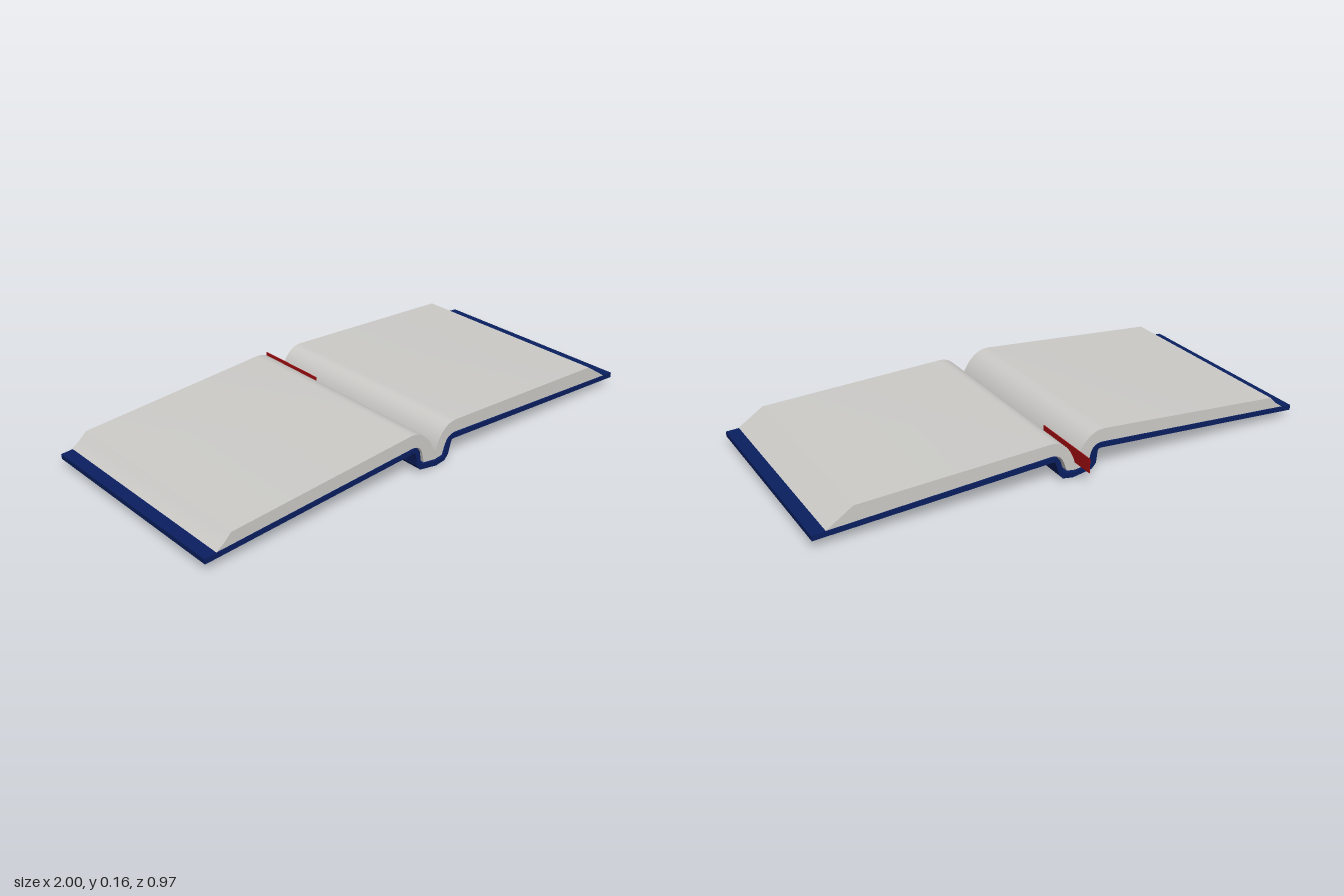
import * as THREE from 'three';
import { toCreasedNormals } from 'three/addons/utils/BufferGeometryUtils.js';

const Z_BACK = -0.39, Z_FRONT = 0.484;

const material = (name, color) => {
  const m = new THREE.MeshStandardMaterial({ color });
  m.name = name;
  return m;
};

// Extrudes a cross-section (x, y) along the height of the book.
function slab(name, shape, mat) {
  const geo = new THREE.ExtrudeGeometry(shape, {
    depth: Z_FRONT - Z_BACK, bevelEnabled: false, curveSegments: 12,
  });
  geo.translate(0, 0, Z_BACK);
  const mesh = new THREE.Mesh(toCreasedNormals(geo, 0.45), mat);
  mesh.name = name;
  return mesh;
}

// Thickens a centre line into a closed strip.
function strip(line, half) {
  const pts = line.map(([x, y]) => new THREE.Vector2(x, y));
  const upper = [], lower = [];
  pts.forEach((p, i) => {
    const a = pts[Math.max(i - 1, 0)], b = pts[Math.min(i + 1, pts.length - 1)];
    const d = b.clone().sub(a).normalize();
    const n = new THREE.Vector2(-d.y, d.x).multiplyScalar(half);
    upper.push(p.clone().add(n));
    lower.push(p.clone().sub(n));
  });
  return new THREE.Shape([...lower, ...upper.reverse()]);
}

export function createModel() {
  const book = new THREE.Group();
  book.name = 'openBook';
  const blue = material('coverBlue', 0x0a1f60);
  const paper = material('paper', 0xcccbc8);
  const red = material('ribbonRed', 0xa00c0f);

  // Cover boards and spine in one folded strip
  book.add(slab('cover', strip([
    [-1, 0.042], [-0.108, 0.101], [-0.092, 0.097], [-0.085, 0.085],
    [-0.079, 0.038], [-0.068, 0.024], [0.01, 0.011], [0.047, 0.017],
    [0.058, 0.03], [0.072, 0.078], [0.08, 0.089], [0.095, 0.092], [1, 0.045],
  ], 0.01), blue));

  // Right-hand pages with a slanted fore edge
  const right = new THREE.Shape();
  right.moveTo(0, 0.03);
  right.lineTo(0.035, 0.035);
  right.bezierCurveTo(0.05, 0.07, 0.05, 0.105, 0.1, 0.107);
  right.lineTo(0.95, 0.059);
  right.lineTo(0.85, 0.125);
  right.lineTo(0.1, 0.156);
  right.bezierCurveTo(0.05, 0.157, 0.015, 0.115, 0, 0.05);
  book.add(slab('rightPages', right, paper));

  // Left-hand pages with a stepped fore edge
  const left = new THREE.Shape();
  left.moveTo(0, 0.03);
  left.lineTo(0, 0.05);
  left.bezierCurveTo(-0.015, 0.11, -0.06, 0.168, -0.12, 0.166);
  left.lineTo(-0.895, 0.107);
  left.lineTo(-0.925, 0.078);
  left.lineTo(-0.955, 0.057);
  left.lineTo(-0.115, 0.114);
  left.bezierCurveTo(-0.06, 0.115, -0.065, 0.07, -0.055, 0.038);
  book.add(slab('leftPages', left, paper));

  // Ribbon standing in the gutter and reaching past the back edge
  const ribbon = new THREE.Mesh(new THREE.BoxGeometry(0.003, 0.056, 0.314), red);
  ribbon.name = 'ribbonBookmark';
  ribbon.position.set(0, 0.087, -0.327);
  book.add(ribbon);

  return book;
}
